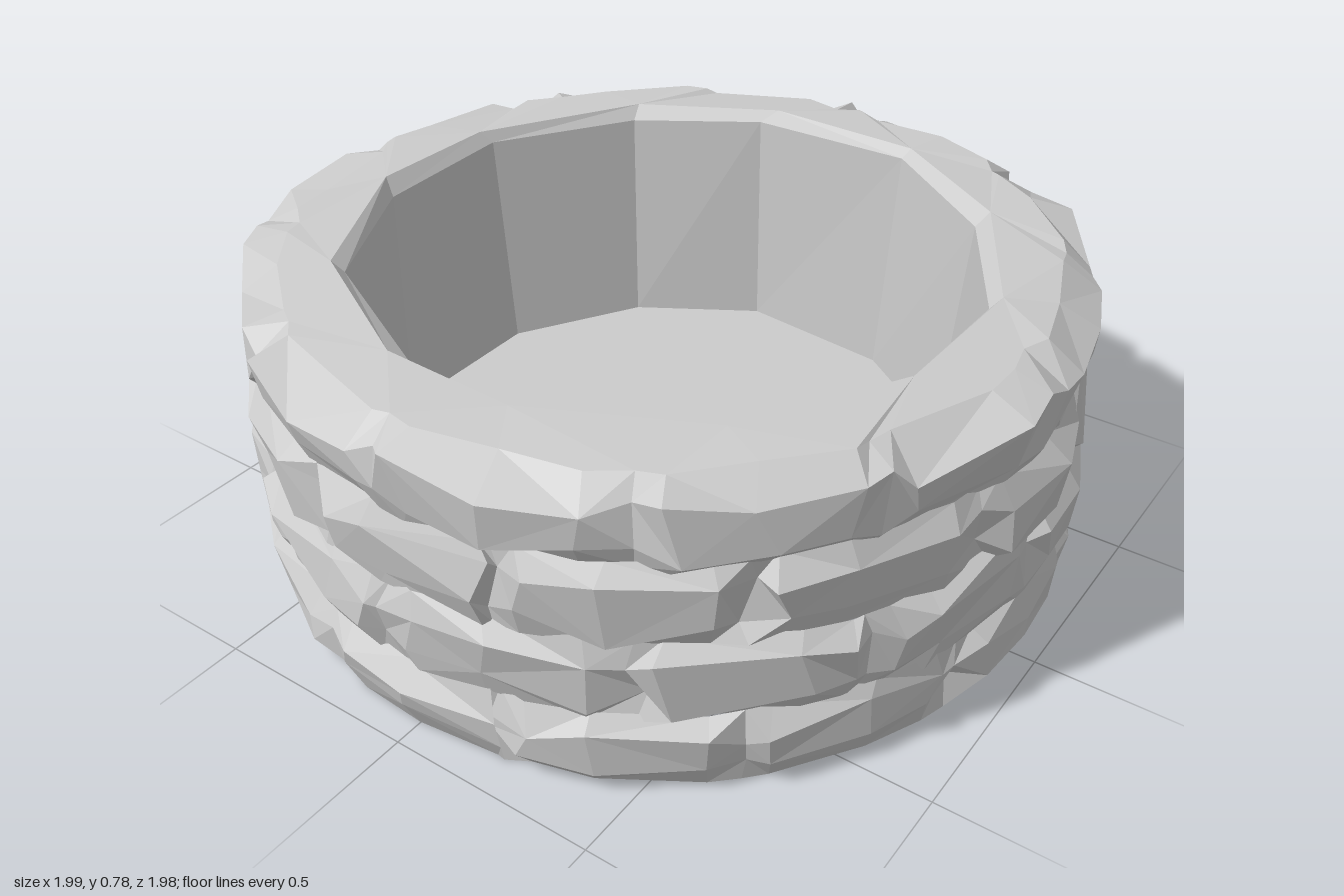
import * as THREE from 'three';

const STONES = 12;          // stones in each course
const STEP = (Math.PI * 2) / STONES;

// Small seeded generator, returns -1..1
function makeRandom(seed) {
  let s = seed;
  return () => {
    s = (s * 16807) % 2147483647;
    return (s / 2147483647) * 2 - 1;
  };
}

// Point at angle t (0 faces the front), radius r, height y
const polar = (t, r, y) => [Math.sin(t) * r, y, Math.cos(t) * r];

// Joins closed rings of points into a faceted skin, varying the split of each quad
function loft(name, rings, material, rand) {
  const n = rings[0].length;
  const positions = [];
  for (let i = 0; i < rings.length - 1; i++) {
    for (let j = 0; j < n; j++) {
      const k = (j + 1) % n;
      const a = rings[i][j], b = rings[i][k], c = rings[i + 1][k], d = rings[i + 1][j];
      if (rand() > 0) positions.push(...a, ...b, ...c, ...a, ...c, ...d);
      else positions.push(...a, ...b, ...d, ...b, ...c, ...d);
    }
  }
  const geometry = new THREE.BufferGeometry();
  geometry.setAttribute('position', new THREE.Float32BufferAttribute(positions, 3));
  geometry.computeVertexNormals();
  const mesh = new THREE.Mesh(geometry, material);
  mesh.name = name;
  return mesh;
}

// One course of rough stones: two edges and a ridged middle each, with a notch between stones.
// An optional rim gives one inner point per stone for the top face to gather to.
function stoneCourse(index, levels, material, rim) {
  const rand = makeRandom(4021 + index * 977);
  const offset = index % 2 ? 0 : STEP / 2;
  const columns = [];
  for (let s = 0; s < STONES; s++) {
    const start = offset + s * STEP + rand() * 0.03;
    const push = rand() * 0.01;
    columns.push({ t: start, push: -0.022 + rand() * 0.012 });
    columns.push({ t: start + STEP * 0.12, push });
    columns.push({ t: start + STEP * (0.5 + rand() * 0.18), push: push + 0.002 });
    columns.push({ t: start + STEP * 0.88, push });
  }
  const rings = levels.map(({ r, y, dr, dy, face }) =>
    columns.map(({ t, push }) => {
      const radius = r + rand() * dr + (face ? push : 0);
      return polar(t + (face ? rand() * 0.03 : 0), Math.min(radius, 1), y + rand() * dy);
    }));
  if (rim) rings.push(columns.map((_, j) => rim[Math.floor(j / 4)]));
  return loft('stoneCourse' + (index + 1), rings, material, rand);
}

export function createModel() {
  const group = new THREE.Group();
  group.name = 'stoneWell';
  const material = new THREE.MeshStandardMaterial({ color: 0xcccccc, flatShading: true });

  // Inner rings, one point per stone of the top course
  const rand = makeRandom(731);
  const innerRing = (r, y, dr, dy) => Array.from({ length: STONES }, (_, j) =>
    polar((j + 0.5) * STEP + rand() * 0.07, r + rand() * dr, y + rand() * dy));
  const rim = innerRing(0.77, 0.775, 0.012, 0.004);
  const lip = innerRing(0.737, 0.745, 0.01, 0.012);
  // The floor dips slightly towards the front left
  const floorRing = innerRing(0.7, 0, 0.015, 0).map(([x, , z]) => [x, 0.145 - 0.045 * (x + z), z]);

  // Four staggered courses, each bulging out between shallow uneven beds
  const bottoms = [0, 0.19, 0.39, 0.58, 0.78];
  for (let i = 0; i < 4; i++) {
    const lo = bottoms[i], hi = bottoms[i + 1];
    const first = i === 0, last = i === 3;
    const levels = [
      { r: first ? 0.925 : 0.938, y: first ? 0 : lo - 0.01, dr: 0.012, dy: first ? 0 : 0.01 },
      { r: 0.966, y: lo + (first ? 0.07 : 0.04), dr: 0.02, dy: 0.03, face: true },
      { r: 0.975, y: hi - (last ? 0.06 : 0.045), dr: 0.02, dy: 0.028, face: true },
      { r: last ? 0.89 : 0.938, y: last ? 0.766 : hi + 0.01, dr: last ? 0.025 : 0.012, dy: 0.008 },
    ];
    // The lowest course closes underneath
    if (first) levels.unshift({ r: 0, y: 0, dr: 0, dy: 0 });
    group.add(stoneCourse(i, levels, material, last && rim));
  }

  // Inner wall tapering down to the floor
  group.add(loft('innerWall', [rim, lip, floorRing], material, rand));

  // Floor inside the well
  const centre = floorRing.map(() => [0, 0.145, 0]);
  group.add(loft('innerFloor', [floorRing, centre], material, rand));

  return group;
}
